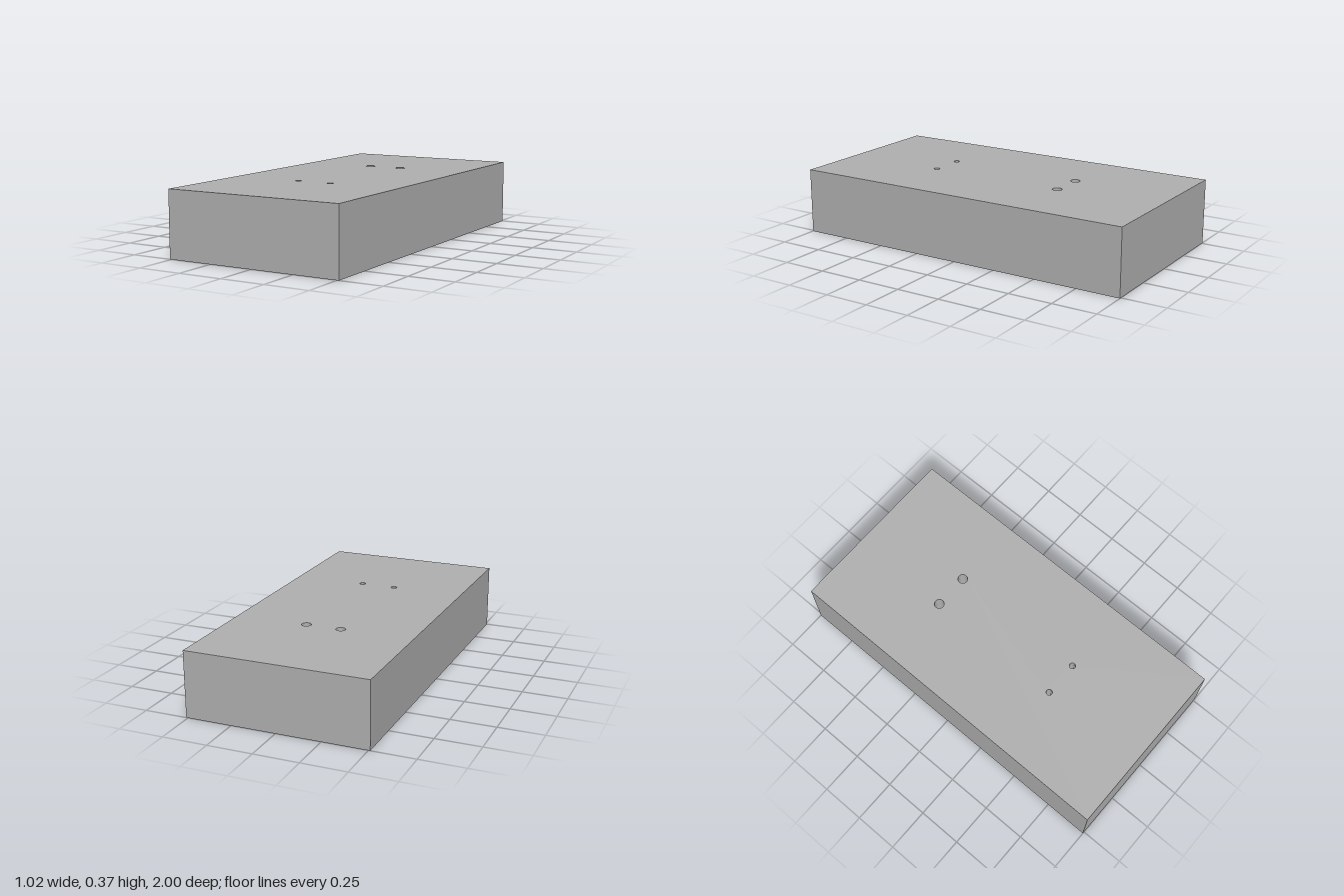
import * as THREE from 'three';
import { toCreasedNormals } from 'three/addons/utils/BufferGeometryUtils.js';

const W = 0.51, L = 1, H = 0.37;                 // half width, half length, height
const SLOT_X = 0.145, ARC = 0.19, ARC_Z = 0.435; // pocket half width, end curve radius and centre
const GROOVE_X = 0.1, GROOVE_R = 0.02, PATCH = 0.035;
const BORE_R = 0.068, BORE_DEPTH = 0.2;

// Through holes: large pair at the back, small pair at the front
const wireHoles = [-1, 1].flatMap((s) => [
  { x: s * GROOVE_X, z: -0.4, r: 0.027 },
  { x: s * GROOVE_X, z: 0.4, r: 0.017 },
]);

// Depth of the round grooves at a given x
function grooveDepth(x) {
  const d = Math.abs(Math.abs(x) - GROOVE_X);
  return d < GROOVE_R ? Math.sqrt(GROOVE_R * GROOVE_R - d * d) : 0;
}

// Sample columns across the pocket, fine inside each groove
function sectionColumns() {
  const half = [0, GROOVE_X - PATCH];
  for (let i = 0; i <= 12; i++) half.push(GROOVE_X - GROOVE_R * Math.cos((i / 12) * Math.PI));
  half.push(GROOVE_X + PATCH, SLOT_X);
  return [...half.slice(1).reverse().map((x) => -x), ...half];
}

// Surface through a grid of points; skip() leaves cells open
function gridSurface(rows, skip = () => false) {
  const pos = [], index = [], n = rows[0].length;
  rows.forEach((row) => row.forEach((p) => pos.push(...p)));
  for (let i = 0; i < rows.length - 1; i++) {
    for (let j = 0; j < n - 1; j++) {
      if (skip(rows[i][j], rows[i + 1][j + 1])) continue;
      const a = i * n + j, b = a + 1, c = a + n, d = c + 1;
      index.push(a, b, c, b, d, c);
    }
  }
  const g = new THREE.BufferGeometry();
  g.setAttribute('position', new THREE.Float32BufferAttribute(pos, 3));
  g.setIndex(index);
  g.computeVertexNormals();
  return toCreasedNormals(g, 0.6);
}

const circle = (x, y, r) => new THREE.Path().absarc(x, y, r, 0, Math.PI * 2, true);

function rectangle() {
  return new THREE.Shape([[-W, -L], [W, -L], [W, L], [-W, L]].map((p) => new THREE.Vector2(...p)));
}

export function createModel() {
  const group = new THREE.Group();
  const grey = new THREE.MeshStandardMaterial({ color: 0xb0b0b0, side: THREE.DoubleSide });
  grey.name = 'grey';
  const add = (name, geometry) => {
    const mesh = new THREE.Mesh(geometry, grey);
    mesh.name = name;
    group.add(mesh);
    return mesh;
  };

  // Outer walls
  for (let i = 0; i < 4; i++) {
    const end = i % 2 === 0;
    const g = new THREE.PlaneGeometry(end ? 2 * W : 2 * L, H);
    g.translate(0, H / 2, end ? L : W).rotateY((i * Math.PI) / 2);
    add('outerWall', g);
  }

  // Top face with the through holes
  const top = rectangle();
  wireHoles.forEach(({ x, z, r }) => top.holes.push(circle(x, -z, r)));
  add('topFace', new THREE.ShapeGeometry(top, 32).rotateX(-Math.PI / 2).translate(0, H, 0));

  // Underside with corner bores and the notched pocket opening
  const columns = sectionColumns();
  const bottom = rectangle();
  const rim = columns.map((x) => new THREE.Vector2(x, ARC_Z + ARC + grooveDepth(x)));
  const rimBack = rim.map((p) => new THREE.Vector2(p.x, -p.y)).reverse();
  bottom.holes.push(new THREE.Path([...rim, ...rimBack]));
  for (const sx of [-1, 1]) {
    for (const sz of [-1, 1]) {
      const x = sx * 0.36, z = sz * 0.848;
      bottom.holes.push(circle(x, z, BORE_R));
      add('cornerBore', new THREE.CylinderGeometry(BORE_R, BORE_R, BORE_DEPTH, 40, 1, true))
        .position.set(x, BORE_DEPTH / 2, z);
      add('boreEnd', new THREE.CircleGeometry(BORE_R, 40).rotateX(Math.PI / 2))
        .position.set(x, BORE_DEPTH, z);
    }
  }
  add('underside', new THREE.ShapeGeometry(bottom, 32).rotateX(Math.PI / 2));

  // Pocket ceiling: grooved section swept along a path with rounded ends
  const path = [];
  for (let i = 0; i <= 20; i++) {
    const a = (i / 20) * (Math.PI / 2);
    path.push([ARC_Z, ARC, Math.cos(a), Math.sin(a)]);
  }
  const back = path.map(([z, r, nz, ny]) => [-z, r, -nz, ny]).reverse();
  const flat = [0.4 - PATCH, -0.4 + PATCH].map((z) => [z, ARC, 0, 1]);
  const rows = [...path, ...flat, ...back].map(([z, r, nz, ny]) => columns.map((x) => {
    const d = r + grooveDepth(x);
    return [x, d * ny, z + d * nz];
  }));
  const overHole = (p, q) => {
    const x = Math.abs((p[0] + q[0]) / 2), z = Math.abs((p[2] + q[2]) / 2);
    return Math.abs(x - GROOVE_X) < PATCH && Math.abs(z - 0.4) < PATCH;
  };
  add('pocketCeiling', gridSurface(rows, overHole));

  // Pocket side walls
  const profile = new THREE.Shape();
  profile.moveTo(-ARC_Z - ARC, 0).lineTo(ARC_Z + ARC, 0);
  profile.absarc(ARC_Z, 0, ARC, 0, Math.PI / 2, false);
  profile.absarc(-ARC_Z, 0, ARC, Math.PI / 2, Math.PI, false);
  for (const s of [-1, 1]) {
    const wall = new THREE.ShapeGeometry(profile, 20).rotateY((-s * Math.PI) / 2);
    add('pocketSide', wall.translate(s * SLOT_X, 0, 0));
  }

  // Through holes and the ceiling patches around them
  for (const { x, z, r } of wireHoles) {
    const rings = [];
    for (let j = 0; j <= 10; j++) {
      const ring = [];
      for (let i = 0; i <= 64; i++) {
        const a = (i / 64) * Math.PI * 2, c = Math.cos(a), s = Math.sin(a);
        const edge = PATCH / Math.max(Math.abs(c), Math.abs(s));
        const d = THREE.MathUtils.lerp(r, edge, j / 10);
        ring.push([x + d * c, ARC + grooveDepth(x + d * c), z + d * s]);
      }
      rings.push(ring);
    }
    add('holeSurround', gridSurface(rings));
    add('throughHole', gridSurface([rings[0].map((p) => [p[0], H, p[2]]), rings[0]]));
  }
  return group;
}
